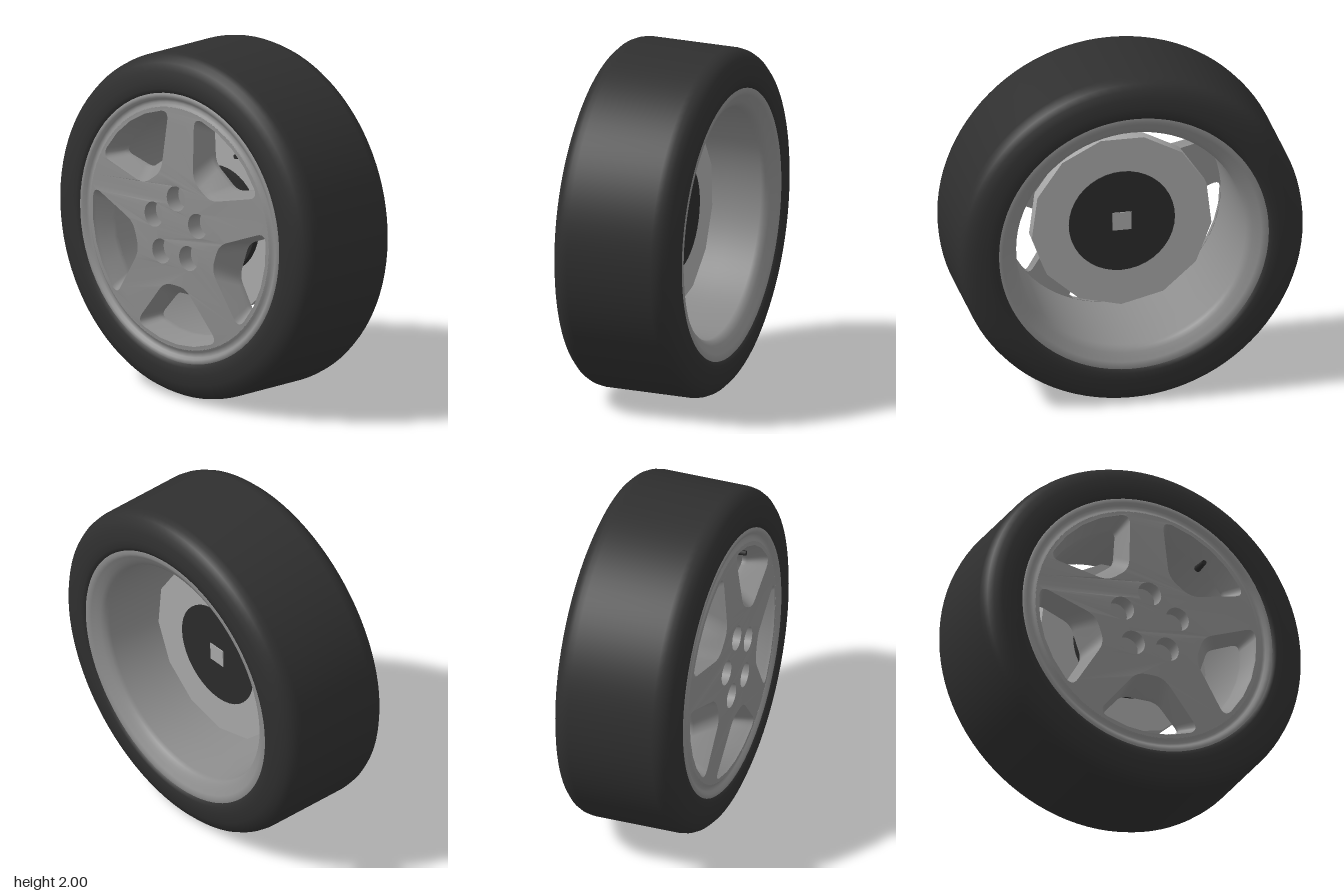
import * as THREE from 'three';

const mat = (name, color, side = THREE.FrontSide) => {
  const m = new THREE.MeshStandardMaterial({ color, side });
  m.name = name;
  return m;
};
const add = (group, name, geometry, material) => {
  const mesh = new THREE.Mesh(geometry, material);
  mesh.name = name;
  group.add(mesh);
  return mesh;
};
const polar = (r, a) => new THREE.Vector2(r * Math.cos(a), r * Math.sin(a));
const STEP = Math.PI * 2 / 5;

// surface of revolution about the x axis from [x, radius] pairs
function revolve(profile, segments = 72) {
  const g = new THREE.LatheGeometry(profile.map(([x, r]) => new THREE.Vector2(r, x)), segments);
  return g.rotateZ(-Math.PI / 2);
}

// rounded window outline between two spokes, centred on angle mid
function windowOutline(mid, ri, ai, ro, ao, round) {
  const corners = [polar(ri, mid - ai), polar(ro, mid - ao), polar(ro, mid + ao), polar(ri, mid + ai)];
  const pts = [];
  const corner = (prev, c, next) => {
    const a = c.clone().add(prev.clone().sub(c).setLength(round));
    const b = c.clone().add(next.clone().sub(c).setLength(round));
    pts.push(...new THREE.QuadraticBezierCurve(a, c, b).getPoints(6));
  };
  const trim = ao - round / ro;
  const arc = [-1, -0.5, 0, 0.5, 1].map(t => polar(ro, mid + t * trim));
  corner(corners[3], corners[0], corners[1]);
  corner(corners[0], corners[1], arc[0]);
  pts.push(...arc.slice(1, 4));
  corner(arc[4], corners[2], corners[3]);
  corner(corners[2], corners[3], corners[0]);
  return pts;
}

// disc with holes, dished by depth(r)
function plate(radius, holes, depth) {
  const outer = Array.from({ length: 72 }, (_, i) => polar(radius, i / 72 * Math.PI * 2));
  const shape = new THREE.Shape(outer);
  shape.holes = holes.map(h => new THREE.Path(h));
  const g = new THREE.ShapeGeometry(shape);
  const p = g.attributes.position;
  for (let i = 0; i < p.count; i++) p.setZ(i, depth(Math.hypot(p.getX(i), p.getY(i))));
  g.computeVertexNormals();
  return g;
}

// skin joining closed loops of equal length
function loft(loops) {
  const n = loops[0].length, index = [];
  for (let k = 0; k < loops.length - 1; k++) {
    for (let i = 0; i < n; i++) {
      const a = k * n + i, b = k * n + (i + 1) % n;
      index.push(a, b, a + n, b, b + n, a + n);
    }
  }
  const g = new THREE.BufferGeometry();
  g.setAttribute('position', new THREE.Float32BufferAttribute(loops.flat().flatMap(v => [v.x, v.y, v.z]), 3));
  g.setIndex(index);
  g.computeVertexNormals();
  return g;
}

export function createModel() {
  const rubber = mat('tyre rubber', 0x2f2f2f);
  const alloy = mat('rim alloy', 0x8c8c8c, THREE.DoubleSide);
  const steel = mat('brake steel', 0xa8a8a8);
  const black = mat('hub black', 0x2b2b2b);

  const model = new THREE.Group();
  model.name = 'wheel';
  const wheel = new THREE.Group();
  wheel.name = 'tiltedWheel';
  wheel.position.y = 1;
  wheel.rotation.z = -0.026;
  model.add(wheel);

  // tyre: mirrored half profile
  const half = [[0.33, 0.765], [0.358, 0.775], [0.368, 0.80], [0.37, 0.84], [0.36, 0.90],
    [0.342, 0.945], [0.315, 0.973], [0.285, 0.987], [0.25, 0.993]];
  const left = half.map(([x, r]) => [-x, r]);
  add(wheel, 'tyre', revolve([...left, ...half.slice().reverse()], 96), rubber);

  // rim barrel with a rolled lip at each end
  add(wheel, 'rimBarrel', revolve([[-0.24, 0.63], [-0.10, 0.64], [0.10, 0.65], [0.28, 0.66],
    [0.305, 0.668], [0.325, 0.69], [0.338, 0.715], [0.352, 0.735], [0.362, 0.755], [0.358, 0.778]]), alloy);
  add(wheel, 'outerLip', revolve([[-0.355, 0.78], [-0.366, 0.768], [-0.364, 0.75], [-0.348, 0.738],
    [-0.343, 0.722], [-0.352, 0.708], [-0.36, 0.695]]), alloy);

  // spoked face, drawn in a plane and turned outward to -x
  const face = new THREE.Group();
  face.name = 'spokedFace';
  face.rotation.y = -Math.PI / 2;
  wheel.add(face);
  const frontDepth = r => 0.396 - 0.075 * r * r;
  const lift = (pts, depth) => pts.map(p => new THREE.Vector3(p.x, p.y, depth(p.length())));
  const fronts = [], backs = [], lugs = [];
  for (let i = 0; i < 5; i++) {
    const spoke = Math.PI / 2 + i * STEP, mid = spoke + STEP / 2;
    const front = windowOutline(mid, 0.335, 0.25, 0.675, 0.48, 0.06);
    const edge = windowOutline(mid, 0.347, 0.25, 0.668, 0.468, 0.06);
    const back = windowOutline(mid, 0.42, 0.26, 0.63, 0.415, 0.05);
    fronts.push(front);
    backs.push(back);
    add(face, 'windowWall', loft([
      lift(front, frontDepth),
      lift(edge, r => frontDepth(r) - 0.02),
      lift(back, () => 0.26),
      lift(back, () => 0.23)
    ]), alloy);

    // lug recess: wall and floor
    const c = polar(0.18, spoke);
    const ring = Array.from({ length: 24 }, (_, k) => polar(0.072, k / 24 * Math.PI * 2).add(c));
    lugs.push(ring);
    add(face, 'lugRecessWall', loft([lift(ring, frontDepth), lift(ring, () => 0.30)]), alloy);
    add(face, 'lugRecessFloor', new THREE.CircleGeometry(0.072, 24).translate(c.x, c.y, 0.30), alloy);
  }
  add(face, 'spokeFront', plate(0.697, [...fronts, ...lugs], frontDepth), alloy);
  add(face, 'spokeBack', plate(0.64, backs, () => 0.23), alloy);

  // brake disc, hub and square axle end
  const drum = (r, x0, x1, sides) => new THREE.CylinderGeometry(r, r, x1 - x0, sides)
    .rotateZ(-Math.PI / 2).translate((x0 + x1) / 2, 0, 0);
  const disc = drum(0.52, -0.03, 0.045, 13);
  disc.rotateX(Math.PI / 2 + Math.PI / 13 - Math.PI / 2);
  // turn the disc so that one flat side is on top
  const p = disc.attributes.position;
  let top = 0;
  for (let i = 0; i < p.count; i++) if (p.getY(i) > p.getY(top)) top = i;
  disc.rotateX(-Math.atan2(p.getZ(top), p.getY(top)) + Math.PI / 13);
  add(wheel, 'brakeDisc', disc, steel);
  add(wheel, 'hub', drum(0.305, -0.07, 0.05, 40), black);
  add(wheel, 'axleEnd', new THREE.BoxGeometry(0.14, 0.108, 0.108).translate(-0.015, 0, 0), steel);

  // valve stem in one window
  const valve = add(wheel, 'valveStem', new THREE.CylinderGeometry(0.014, 0.02, 0.09, 12), black);
  valve.rotation.z = Math.PI / 2;
  valve.position.set(-0.27, 0.49, 0.38);
  return model;
}
